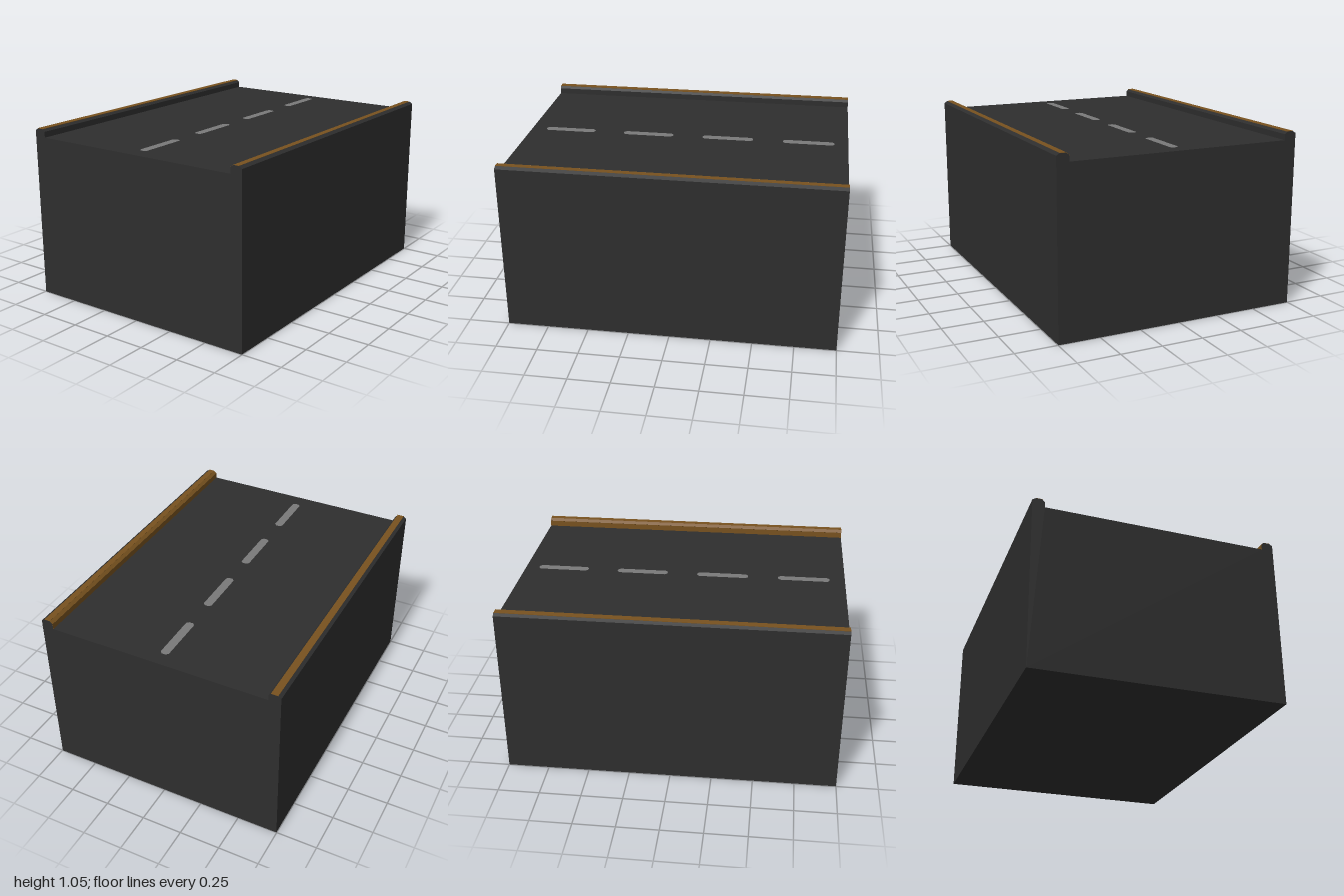
import * as THREE from 'three';

export function createModel() {
  const group = new THREE.Group();
  const asphalt = new THREE.MeshStandardMaterial({ color: 0x2e2e2e });
  asphalt.name = 'asphalt';
  const ochre = new THREE.MeshStandardMaterial({ color: 0x78521f });
  ochre.name = 'ochre curb paint';
  const grey = new THREE.MeshStandardMaterial({ color: 0x7a7a7a });
  grey.name = 'grey lane paint';

  const add = (name, geometry, material) => {
    const mesh = new THREE.Mesh(geometry, material);
    mesh.name = name;
    group.add(mesh);
    return mesh;
  };

  // Cross-section of block and chamfered curbs, extruded along the road
  const curb = [[0.675, 1], [0.675, 1.035], [0.692, 1.05], [0.728, 1.05], [0.748, 1.037]];
  const section = new THREE.Shape();
  section.moveTo(-0.748, 0);
  section.lineTo(0.748, 0);
  [...curb].reverse().forEach(([x, y]) => section.lineTo(x, y));
  curb.forEach(([x, y]) => section.lineTo(-x, y));
  section.closePath();
  const body = new THREE.ExtrudeGeometry(section, { depth: 2, bevelEnabled: false });
  body.translate(0, 0, -1);
  add('roadBlock', body, asphalt);

  // Thin paint faces lying just off a curb edge, from point a to point b
  const paint = (name, [ax, ay], [bx, by]) => {
    const length = Math.hypot(bx - ax, by - ay);
    const strip = add(name, new THREE.BoxGeometry(length, 0.002, 2), ochre);
    strip.position.set((ax + bx) / 2, (ay + by) / 2, 0);
    strip.rotation.z = Math.atan2(by - ay, bx - ax);
  };
  paint('rightCurbTopPaint', [-0.73, 1.05], [-0.688, 1.05]);
  paint('leftCurbTopPaint', curb[2], curb[3]);
  paint('leftCurbChamferPaint', curb[1], curb[2]);
  paint('leftCurbInnerPaint', curb[0], curb[1]);

  // Dashed centre line with clipped corners
  const w = 0.026, h = 0.158, c = 0.014;
  const dash = new THREE.Shape([
    [-w + c, -h], [w - c, -h], [w, -h + c], [w, h - c],
    [w - c, h], [-w + c, h], [-w, h - c], [-w, -h + c],
  ].map(([x, y]) => new THREE.Vector2(x, y)));
  const dashGeometry = new THREE.ShapeGeometry(dash);
  dashGeometry.rotateX(-Math.PI / 2);
  for (let i = 0; i < 4; i++) {
    add('laneDash' + (i + 1), dashGeometry, grey).position.set(0, 1.002, -0.758 + i * 0.502);
  }
  return group;
}
